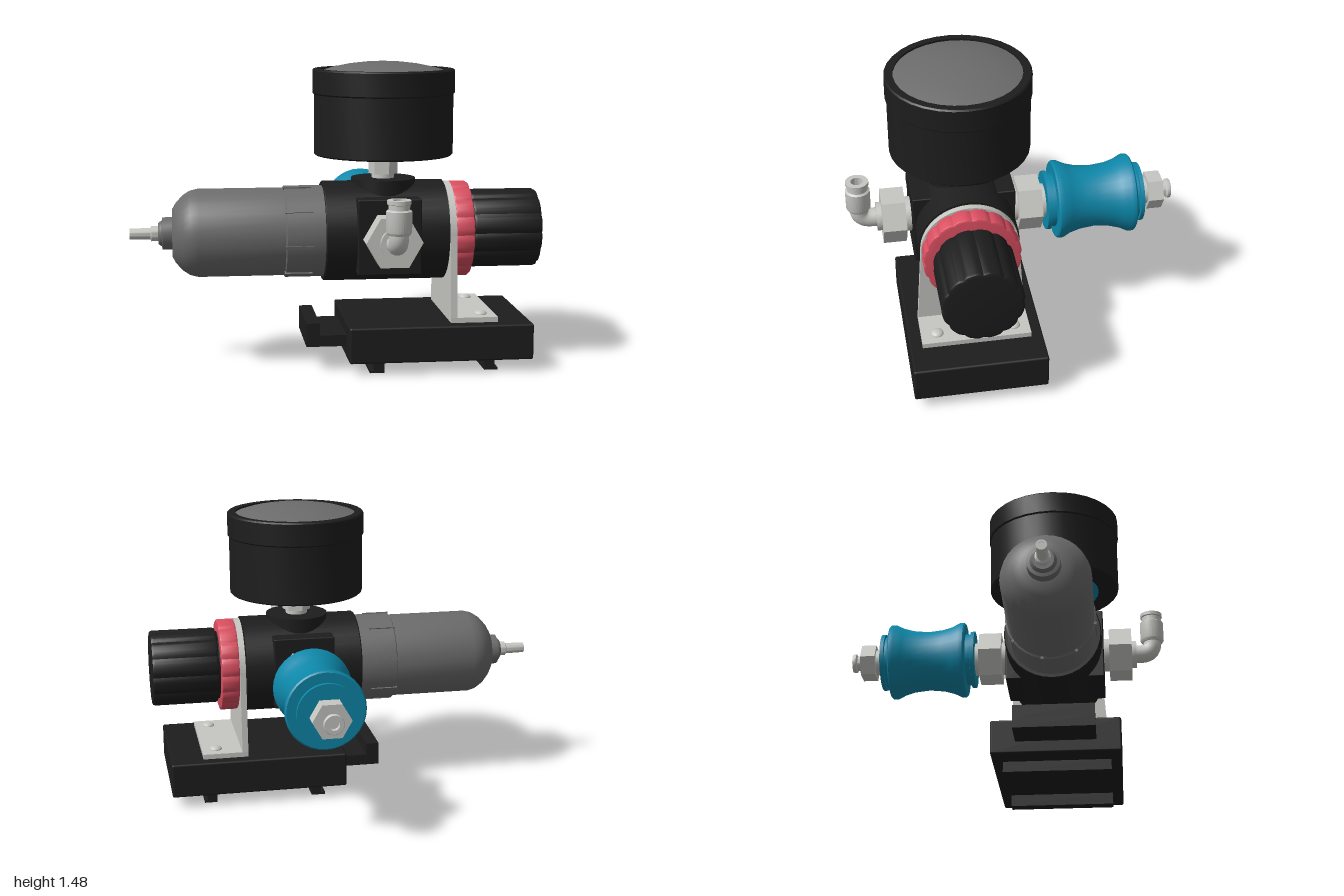
import * as THREE from 'three';
import { toCreasedNormals } from 'three/addons/utils/BufferGeometryUtils.js';
import { RoundedBoxGeometry } from 'three/addons/geometries/RoundedBoxGeometry.js';

const mat = (name, color) => Object.assign(new THREE.MeshStandardMaterial({ color }), { name });

export function createModel() {
  const black = mat('black plastic', 0x1d1d1d);
  const grey = mat('smoked grey', 0x6c6c6c);
  const metal = mat('light metal', 0xc6c6c2);
  const red = mat('red', 0xd94e60);
  const teal = mat('teal', 0x0d87a9);

  const CX = 0.238, CY = 0.655, CZ = 0.248; // crossing point of the three pipe axes
  const model = new THREE.Group();
  model.name = 'airRegulator';

  const add = (name, geo, material) => {
    const mesh = new THREE.Mesh(geo, material);
    mesh.name = name;
    model.add(mesh);
    return mesh;
  };
  // Lay a geometry built along y onto one of the three pipe axes
  const orient = (geo, axis) => {
    if (axis === 'x') return geo.rotateZ(-Math.PI / 2).translate(0, CY, CZ);
    if (axis === 'z') return geo.rotateX(Math.PI / 2).translate(CX, CY, 0);
    return geo.translate(CX, 0, CZ);
  };
  // Turned part: points are [radius, position along axis], rising
  const turned = (name, axis, points, material, sides = 28) => {
    const geo = new THREE.LatheGeometry(points.map(p => new THREE.Vector2(p[0], p[1])), sides);
    return add(name, orient(toCreasedNormals(geo, 0.55), axis), material);
  };
  const rod = (name, axis, r, a, b, material, sides) =>
    turned(name, axis, [[0, a], [r, a], [r, b], [0, b]], material, sides);
  const hex = (name, axis, r, a, b, turn = Math.PI / 2) => {
    const geo = new THREE.CylinderGeometry(r, r, b - a, 6).rotateY(turn).translate(0, (a + b) / 2, 0);
    return add(name, orient(toCreasedNormals(geo, 0.3), axis), metal);
  };
  // Box from minimum and maximum corners
  const box = (name, x0, x1, y0, y1, z0, z1, material, round = 0) => {
    const size = [x1 - x0, y1 - y0, z1 - z0];
    const geo = round ? new RoundedBoxGeometry(...size, 2, round) : new THREE.BoxGeometry(...size);
    return add(name, geo.translate((x0 + x1) / 2, (y0 + y1) / 2, (z0 + z1) / 2), material);
  };
  // Fluted grip along x
  const grip = (name, r, depth, lobes, x0, x1, bevel, material) => {
    const pts = [], n = lobes * 8;
    for (let i = 0; i < n; i++) {
      const a = i / n * Math.PI * 2;
      const rr = r - bevel - depth * Math.pow(0.5 + 0.5 * Math.cos(a * lobes), 4);
      pts.push(new THREE.Vector2(Math.cos(a) * rr, Math.sin(a) * rr));
    }
    const geo = new THREE.ExtrudeGeometry(new THREE.Shape(pts), {
      depth: x1 - x0 - 2 * bevel, bevelThickness: bevel, bevelSize: bevel, bevelSegments: 2,
    });
    geo.rotateY(Math.PI / 2).translate(x0 + bevel, CY, CZ);
    return add(name, toCreasedNormals(geo, 0.5), material);
  };

  // Base with hooked tab and mounting rails
  box('base', 0.035, 0.93, 0.06, 0.235, -0.075, 0.575, black, 0.01);
  box('baseTab', -0.16, 0.04, 0.12, 0.175, 0.05, 0.45, black);
  box('baseTabLip', -0.16, -0.095, 0.17, 0.235, 0.05, 0.45, black);
  [[0.16, 0.21, 0.14, 0.21], [0.7, 0.75, 0.7, 0.765]].forEach(([a, b, c, d]) => {
    box('rail', a, b, 0, 0.065, -0.02, 0.52, black);
    box('railLip', c, d, 0, 0.012, -0.02, 0.52, black);
  });

  // Angle bracket: round-topped upright and screwed foot
  const plate = new THREE.Shape();
  plate.moveTo(-0.265, 0.237);
  plate.lineTo(0.265, 0.237);
  plate.lineTo(0.237, CY);
  plate.absarc(0, CY, 0.237, 0, Math.PI, false);
  plate.lineTo(-0.265, 0.237);
  const upright = new THREE.ExtrudeGeometry(plate, { depth: 0.03, bevelEnabled: false, curveSegments: 20 });
  add('bracketUpright', upright.rotateY(Math.PI / 2).translate(0.535, 0, CZ), metal);
  box('bracketFoot', 0.535, 0.765, 0.235, 0.26, -0.017, 0.513, metal);
  for (const z of [0.06, 0.435]) {
    const head = new THREE.SphereGeometry(0.032, 16, 6, 0, Math.PI * 2, 0, Math.PI / 2);
    add('screwHead', head.scale(1, 0.55, 1).translate(0.695, 0.26, z), metal);
  }

  // Regulator body with square side ports and round gauge port
  turned('body', 'x', [[0, -0.065], [0.24, -0.065], [0.245, -0.06], [0.245, 0.53], [0, 0.535]], black, 32);
  box('sidePorts', 0.083, 0.39, 0.475, 0.84, 0, 0.5, black, 0.006);
  rod('gaugePort', 'y', 0.158, 0.66, 0.915, black);

  // Adjusting nut and knob
  grip('adjustingNut', 0.235, 0.008, 16, 0.565, 0.655, 0.008, red);
  rod('knobNeck', 'x', 0.175, 0.64, 0.67, black);
  grip('knob', 0.193, 0.009, 12, 0.662, 1, 0.014, black);

  // Filter bowl, collar ribs and drain
  turned('bowl', 'x', [[0, -0.795], [0.115, -0.795], [0.145, -0.778], [0.182, -0.745], [0.205, -0.71],
    [0.215, -0.67], [0.215, -0.255], [0.224, -0.25], [0.224, -0.06], [0, -0.06]], grey, 32);
  for (let i = 0; i < 8; i++) {
    const a = (i + 0.25) * Math.PI / 4;
    const rib = new THREE.BoxGeometry(0.135, 0.014, 0.014).translate(-0.19, 0.222, 0);
    add('collarRib', rib.rotateX(a).translate(0, CY, CZ), grey);
  }
  turned('drainBoss', 'x', [[0, -0.862], [0.05, -0.862], [0.058, -0.855], [0.062, -0.845], [0.078, -0.842],
    [0.08, -0.79], [0, -0.79]], grey);
  turned('drainStem', 'x', [[0.014, -1], [0.026, -1], [0.028, -0.9], [0.037, -0.895], [0.037, -0.86], [0, -0.86]], metal);
  rod('drainBore', 'x', 0.015, -0.994, -0.98, metal);

  // Pressure gauge
  hex('gaugeNut', 'y', 0.071, 0.935, 1.03, 0.3);
  rod('gaugeStem', 'y', 0.055, 0.9, 1.04, metal);
  turned('gaugeCase', 'y', [[0, 1.03], [0.333, 1.03], [0.34, 1.037], [0.34, 1.325], [0.347, 1.332],
    [0.347, 1.44], [0.34, 1.447], [0.304, 1.447], [0.304, 1.435], [0, 1.435]], black, 32);
  turned('gaugeLens', 'y', [[0.304, 1.437], [0.25, 1.454], [0.17, 1.47], [0.085, 1.48], [0, 1.483]], grey, 32);
  rod('gaugeBackPlate', 'y', 0.235, 1.024, 1.031, teal);

  // Front fitting and push-in elbow
  rod('frontNeck', 'z', 0.085, 0.49, 0.54, metal);
  hex('frontNut', 'z', 0.135, 0.528, 0.643);
  rod('elbowCollar', 'z', 0.07, 0.64, 0.668, metal);
  const v = (y, z) => new THREE.Vector3(CX, y, z);
  const bend = new THREE.CurvePath();
  bend.add(new THREE.LineCurve3(v(CY, 0.65), v(CY, 0.69)));
  bend.add(new THREE.QuadraticBezierCurve3(v(CY, 0.69), v(CY, 0.752), v(0.715, 0.752)));
  bend.add(new THREE.LineCurve3(v(0.715, 0.752), v(0.745, 0.752)));
  add('elbow', new THREE.TubeGeometry(bend, 24, 0.046, 18), metal);
  turned('elbowSocket', 'y', [[0, 0.715], [0.052, 0.715], [0.06, 0.728], [0.06, 0.825], [0.05, 0.832], [0.05, 0.855],
    [0.056, 0.858], [0.056, 0.876], [0.03, 0.876], [0.03, 0.8], [0, 0.8]], metal).position.z = 0.752 - CZ;

  // Rear fitting
  rod('rearNeck', 'z', 0.085, -0.175, 0.01, metal);
  hex('rearNut', 'z', 0.135, -0.145, -0.028);

  // Waisted slide valve
  turned('slideValve', 'z', [[0, -0.655], [0.147, -0.655], [0.147, -0.636], [0.134, -0.634], [0.134, -0.61],
    [0.188, -0.61], [0.195, -0.603], [0.195, -0.58], [0.175, -0.54], [0.161, -0.49], [0.153, -0.412],
    [0.161, -0.335], [0.175, -0.285], [0.195, -0.245], [0.195, -0.222], [0.188, -0.215],
    [0.134, -0.215], [0.134, -0.19], [0.147, -0.188], [0.147, -0.168], [0, -0.168]], teal, 32);

  // Outlet fitting with open tip
  rod('outletNeck', 'z', 0.065, -0.695, -0.65, metal);
  hex('outletNut', 'z', 0.094, -0.766, -0.69);
  turned('outletTip', 'z', [[0, -0.79], [0.026, -0.79], [0.026, -0.815], [0.046, -0.815], [0.049, -0.81],
    [0.049, -0.797], [0.038, -0.79], [0.038, -0.76], [0, -0.76]], metal);

  return model;
}
